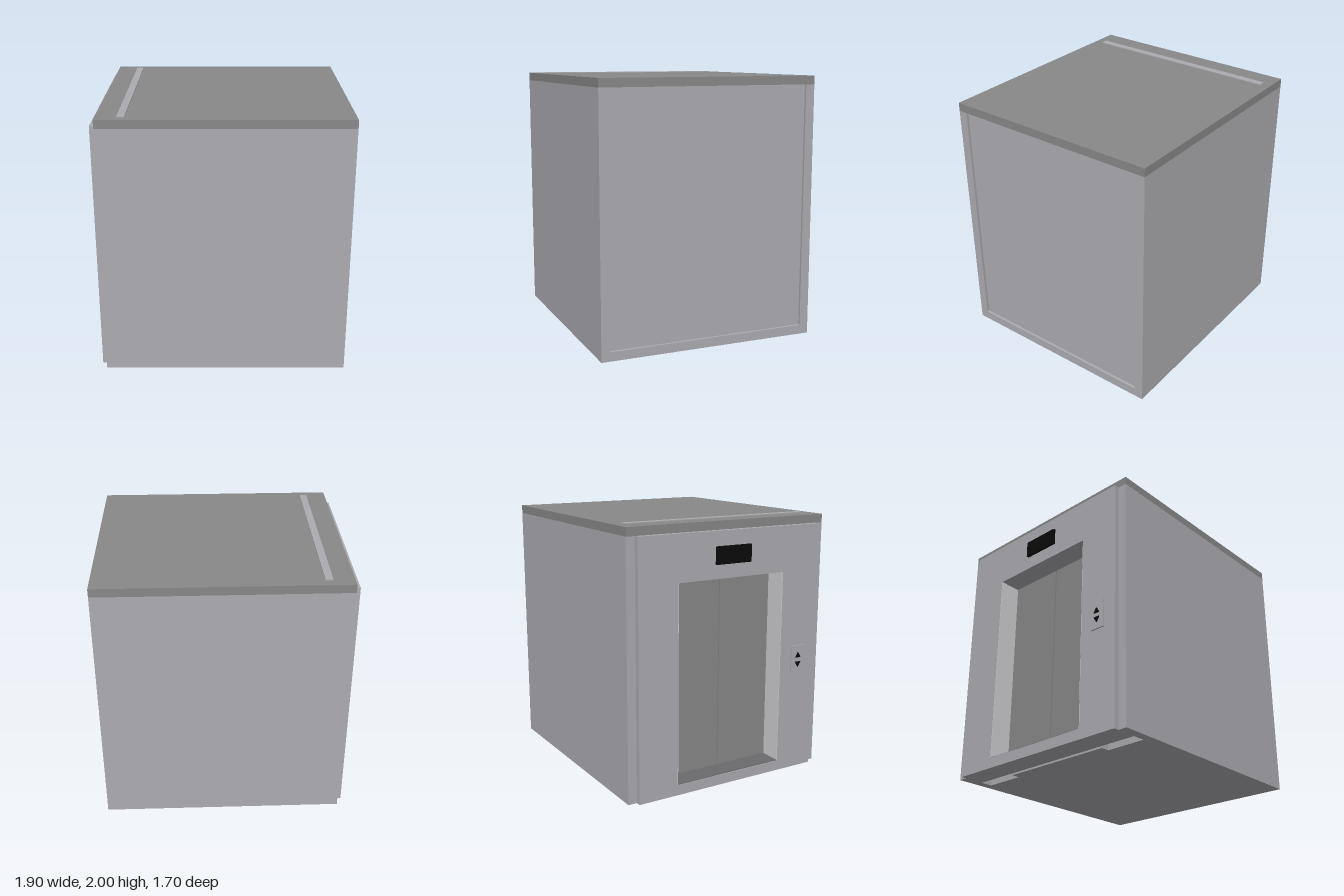
import * as THREE from 'three';

const mat = (name, color) => {
  const m = new THREE.MeshStandardMaterial({ color });
  m.name = name;
  return m;
};

export function createModel() {
  const group = new THREE.Group();
  const wall = mat('light grey metal', 0xacabb0);
  const dark = mat('dark grey metal', 0x888888);
  const lining = mat('pale lining', 0xd0d0d4);
  const sillGrey = mat('sill grey', 0x6a6a6c);
  const black = mat('black', 0x0a0a0a);

  const add = (name, geometry, material) => {
    const mesh = new THREE.Mesh(geometry, material);
    mesh.name = name;
    group.add(mesh);
    return mesh;
  };
  // Box given by its limits on each axis
  const box = (name, material, x0, x1, y0, y1, z0, z1) => {
    const g = new THREE.BoxGeometry(x1 - x0, y1 - y0, z1 - z0);
    g.translate((x0 + x1) / 2, (y0 + y1) / 2, (z0 + z1) / 2);
    return add(name, g, material);
  };
  const rect = (Type, z, y0, y1) => new Type([
    new THREE.Vector2(-z, y0), new THREE.Vector2(z, y0),
    new THREE.Vector2(z, y1), new THREE.Vector2(-z, y1),
  ]);
  // Upright profile (-z, y) pushed along x
  const alongX = (name, material, shape, x0, x1) => {
    const g = new THREE.ExtrudeGeometry(shape, { depth: x1 - x0, bevelEnabled: false });
    g.rotateY(Math.PI / 2).translate(x0, 0, 0);
    return add(name, g, material);
  };

  // Cabin body, with a raised rim round the recessed rear panel
  box('cabinBody', wall, -0.64, 0.93, 0, 1.93, -0.85, 0.85);
  const rim = new THREE.Shape([
    [-0.85, 0], [0.85, 0], [0.85, 1.93], [0.78, 1.93],
    [0.78, 0.07], [-0.78, 0.07], [-0.78, 1.93], [-0.85, 1.93],
  ].map(([z, y]) => new THREE.Vector2(z, y)));
  alongX('rearRim', wall, rim, 0.93, 0.95);

  // Roof and the header strip showing through it
  box('roof', dark, -0.89, 0.95, 1.93, 1.994, -0.85, 0.85);
  box('roofStrip', wall, -0.735, -0.68, 1.985, 2, -0.78, 0.78);

  // Door portal with its opening
  const portal = rect(THREE.Shape, 0.78, 0, 1.93);
  portal.holes.push(rect(THREE.Path, 0.46, 0.08, 1.585));
  alongX('doorPortal', wall, portal, -0.93, -0.735);
  box('doorSill', sillGrey, -0.925, -0.76, 0.08, 0.085, -0.46, 0.46);
  box('floorEdge', wall, -0.705, -0.64, 0, 0.08, -0.46, 0.46);

  for (const s of [-1, 1]) {
    const pair = (name, material, x0, x1, y0, y1, a, b) =>
      box(name, material, x0, x1, y0, y1, Math.min(s * a, s * b), Math.max(s * a, s * b));
    pair('sideWallEnd', wall, -0.89, -0.64, 0, 1.93, 0.78, 0.85);
    pair('doorJamb', lining, -0.929, -0.76, 0.08, 1.585, 0.455, 0.46);
    pair('doorLeaf', dark, -0.76, -0.737, 0.08, 1.585, 0.006, 0.46);
  }
  box('doorSeam', dark, -0.75, -0.737, 0.08, 1.585, -0.006, 0.006);

  // Floor display and call panel
  box('floorDisplay', black, -0.95, -0.93, 1.69, 1.82, -0.15, 0.15);
  box('callPanel', wall, -0.94, -0.93, 0.78, 1, 0.56, 0.68);
  for (const [name, y, dir] of [['upButton', 0.925, 1], ['downButton', 0.85, -1]]) {
    const arrow = new THREE.Shape([
      new THREE.Vector2(-0.62 - 0.024 * dir, y - 0.02 * dir),
      new THREE.Vector2(-0.62 + 0.024 * dir, y - 0.02 * dir),
      new THREE.Vector2(-0.62, y + 0.02 * dir),
    ]);
    alongX(name, black, arrow, -0.949, -0.94);
  }
  return group;
}
